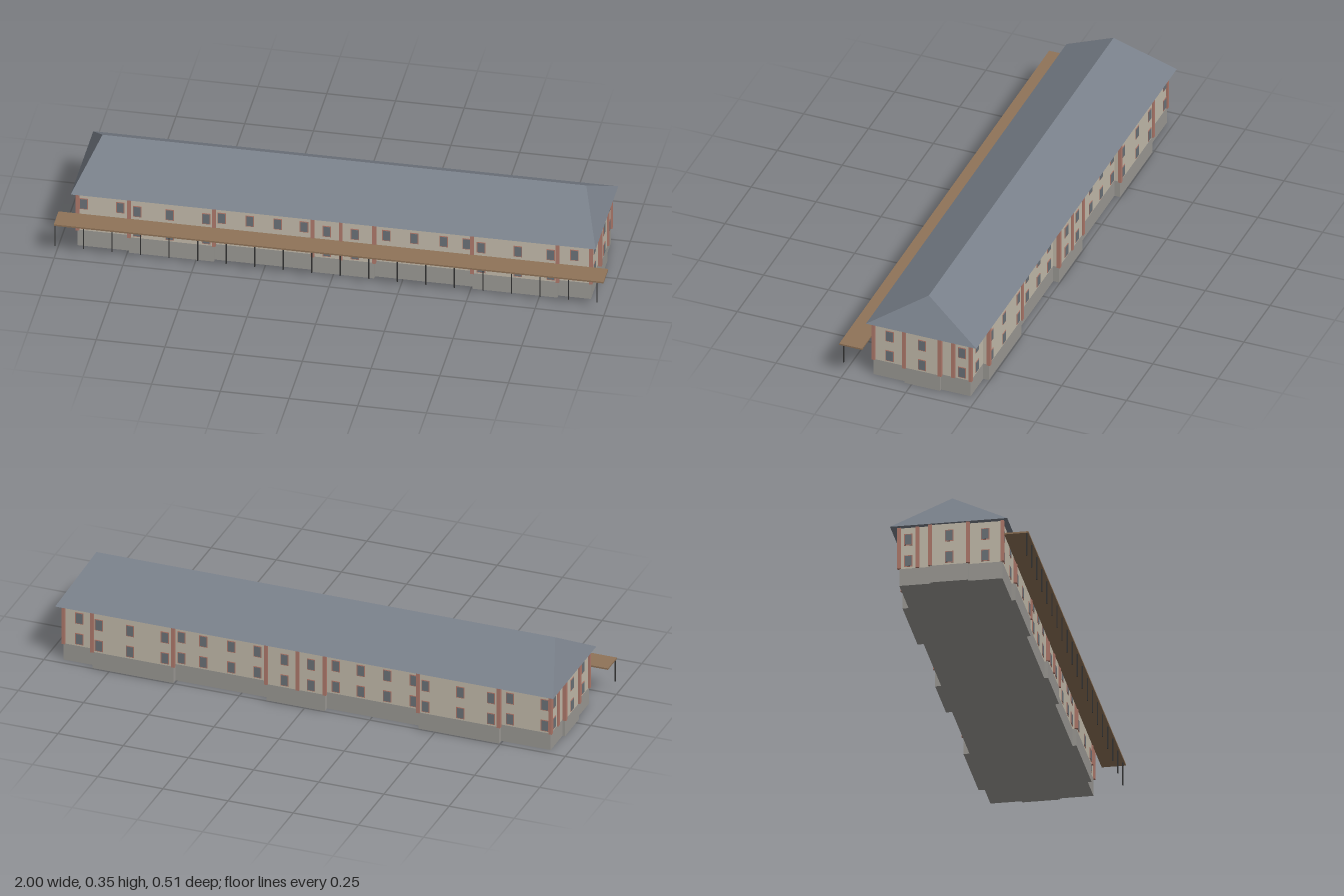
import * as THREE from 'three';

const mat = (name, color, side = THREE.FrontSide) => {
  const m = new THREE.MeshStandardMaterial({ color, side });
  m.name = name;
  return m;
};

export function createModel() {
  const model = new THREE.Group();
  model.name = 'longBuilding';
  const plaster = mat('plaster', 0xc4bcac);
  const stone = mat('stone', 0x9c9a95);
  const brick = mat('brick', 0xb07a6c);
  const slate = mat('slate', 0x79808a);
  const glass = mat('glass', 0x6c7379);
  const wood = mat('wood', 0x8f7358);
  const iron = mat('iron', 0x333333);

  const group = (name) => {
    const g = new THREE.Group();
    g.name = name;
    model.add(g);
    return g;
  };
  const box = (parent, name, material, size, pos) => {
    const m = new THREE.Mesh(new THREE.BoxGeometry(...size), material);
    m.name = name;
    m.position.set(...pos);
    parent.add(m);
    return m;
  };

  // Levels and footprint: alternate bays step forward on every side
  const BASE = 0.066, EAVES = 0.226, RIDGE = 0.355;
  const stepsX = [-0.744, -0.435, -0.076, 0.148, 0.505, 0.815];
  const stepsZ = [0.027, -0.11];
  const frontIn = 0.15, frontOut = 0.164, backIn = -0.224, backOut = -0.246;
  const endIn = 0.934, endOut = 0.944;

  const outline = [[-endIn, frontIn]];
  stepsX.forEach((x, i) => {
    const pair = [[x, frontIn], [x, frontOut]];
    outline.push(...(i % 2 ? pair.reverse() : pair));
  });
  outline.push([endIn, frontIn], [endIn, stepsZ[0]], [endOut, stepsZ[0]],
    [endOut, stepsZ[1]], [endIn, stepsZ[1]], [endIn, backIn]);
  [...stepsX].reverse().forEach((x, i) => {
    const pair = [[x, backIn], [x, backOut]];
    outline.push(...(i % 2 ? pair.reverse() : pair));
  });
  outline.push([-endIn, backIn], [-endIn, stepsZ[1]], [-endOut, stepsZ[1]],
    [-endOut, stepsZ[0]], [-endIn, stepsZ[0]]);

  const footprint = new THREE.Shape(outline.map(([x, z]) => new THREE.Vector2(x, -z)));
  const storey = (name, material, y0, y1) => {
    const geo = new THREE.ExtrudeGeometry(footprint, { depth: y1 - y0, bevelEnabled: false });
    geo.rotateX(-Math.PI / 2);
    const m = new THREE.Mesh(geo, material);
    m.name = name;
    m.position.y = y0;
    model.add(m);
  };
  storey('plinth', stone, 0, BASE);
  storey('walls', plaster, BASE, EAVES);

  // Brick pilasters on the outer corners, plus a few on flat wall
  const pilasters = group('pilasters');
  const pilaster = (x, z) => box(pilasters, 'pilaster', brick,
    [0.013, EAVES - BASE, 0.013], [x, (BASE + EAVES) / 2, z]);
  for (const x of [...stepsX, 0.027]) {
    pilaster(x, frontOut);
    pilaster(x, backOut);
  }
  for (const s of [-1, 1]) {
    pilaster(s * endIn, frontIn);
    pilaster(s * endIn, backIn);
    pilaster(s * endIn, -0.158);
    for (const z of stepsZ) pilaster(s * endOut, z);
  }

  // Windows: brick surround plate with a glass plate on top, two rows
  const windows = group('windows');
  const addWindows = (x, z, turn) => {
    for (const y of [0.095, 0.179]) {
      const w = new THREE.Group();
      w.name = 'window';
      w.position.set(x, y, z);
      w.rotation.y = turn;
      box(w, 'windowSurround', brick, [0.031, 0.045, 0.003], [0, 0, 0.0005]);
      box(w, 'windowPane', glass, [0.025, 0.039, 0.003], [0, 0, 0.0015]);
      windows.add(w);
    }
  };
  const windowX = [-0.912, -0.778, -0.714, -0.596, -0.463, -0.409, -0.307, -0.206, -0.11,
    -0.024, 0.078, 0.19, 0.291, 0.398, 0.482, 0.537, 0.671, 0.79, 0.874];
  for (const x of windowX) {
    const forward = stepsX.filter((s) => s < x).length % 2 === 1;
    addWindows(x, forward ? frontOut : frontIn, 0);
    addWindows(x, forward ? backOut : backIn, Math.PI);
  }
  for (const s of [-1, 1]) {
    addWindows(s * endIn, 0.088, s * Math.PI / 2);
    addWindows(s * endOut, -0.041, s * Math.PI / 2);
    addWindows(s * endIn, -0.191, s * Math.PI / 2);
  }

  // Hipped roof: four eaves corners and two ridge ends
  const ex = 0.955, rx = 0.88, zf = 0.171, zb = -0.254, zr = -0.041;
  const corners = [
    [-ex, EAVES, zf], [ex, EAVES, zf], [ex, EAVES, zb], [-ex, EAVES, zb],
    [-rx, RIDGE, zr], [rx, RIDGE, zr],
  ];
  const faces = [0, 1, 5, 0, 5, 4, 1, 2, 5, 2, 3, 4, 2, 4, 5, 3, 0, 4, 0, 3, 2, 0, 2, 1];
  const roofGeo = new THREE.BufferGeometry();
  roofGeo.setAttribute('position',
    new THREE.Float32BufferAttribute(faces.flatMap((i) => corners[i]), 3));
  roofGeo.computeVertexNormals();
  const roof = new THREE.Mesh(roofGeo, slate);
  roof.name = 'hippedRoof';
  model.add(roof);

  // Platform canopy along the front on a row of thin posts
  const canopy = group('canopy');
  box(canopy, 'canopyDeck', wood, [2, 0.006, 0.088], [0, 0.144, 0.212]);
  for (let i = 0; i < 20; i++) {
    box(canopy, 'canopyPost', iron, [0.004, 0.088, 0.004], [-0.997 + i * 0.1038, 0.097, 0.249]);
  }

  return model;
}
